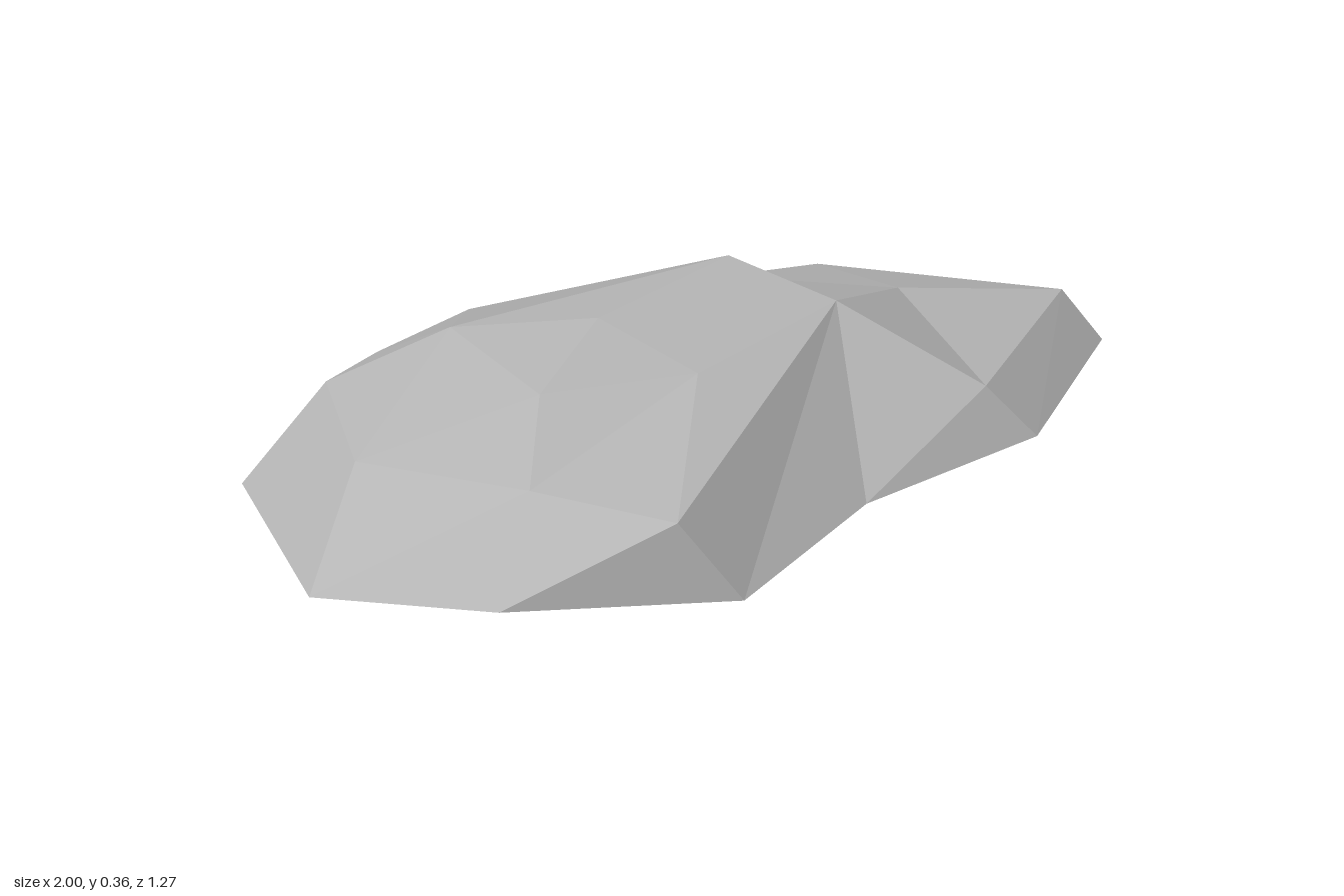
import * as THREE from 'three';

export function createModel() {
  const stone = new THREE.MeshStandardMaterial({ color: 0xb4b4b4, flatShading: true, side: THREE.DoubleSide });
  stone.name = 'stone grey';

  // Open lower edge, clockwise from the front left corner
  const rim = [
    [1, 0.03, 0.46], [0.49, 0.03, 0.63], [0, 0.035, 0.55], [-0.47, 0.03, 0.61],
    [-0.83, 0.05, 0.31], [-1, 0.04, -0.02], [-0.74, 0.04, -0.47], [-0.26, 0.035, -0.54],
    [0.04, 0.02, -0.64], [0.41, 0.01, -0.5], [0.77, 0, -0.22], [0.89, 0.03, 0.06],
  ];

  // Shoulder and crown corners
  const p = {
    A: [0.95, 0.145, 0.38], B: [0.41, 0.15, 0.55], C: [-0.56, 0.2, 0.52], D: [0.255, 0.318, 0.275],
    E: [0.23, 0.357, 0.01], F: [0.52, 0.175, -0.12], G: [0.77, 0.12, -0.16], H: [0.04, 0.14, -0.56],
    I: [0.33, 0.125, -0.42], J: [0.6, 0.21, 0.185], K: [-0.35, 0.2, -0.46], L: [-0.755, 0.2, -0.13],
    M: [-0.65, 0.21, 0.23], N: [-0.455, 0.3, 0.085], O: [-0.18, 0.3, 0.26], P: [-0.18, 0.348, 0],
    Q: [-0.57, 0.23, -0.39], R: [-0.35, 0.315, -0.25],
  };

  const positions = [];
  const tri = (a, b, c) => positions.push(...a, ...b, ...c);

  // Sloping sides: a band from the rim to the shoulder
  const shoulder = [...'ABDCMLQKHIGA'].map((k) => p[k]);
  rim.forEach((r, i) => {
    const j = (i + 1) % rim.length;
    tri(rim[j], r, shoulder[i]);
    if (shoulder[i] !== shoulder[j]) tri(rim[j], shoulder[i], shoulder[j]);
  });

  // Crown: fans of facets around each hub
  const fans = { J: 'BAGFDB', F: 'GIED', E: 'IHRPD', R: 'HKQLNP', N: 'LM', O: 'PNMCDP' };
  for (const [hub, ring] of Object.entries(fans)) {
    for (let i = 0; i < ring.length - 1; i++) tri(p[hub], p[ring[i]], p[ring[i + 1]]);
  }

  const geometry = new THREE.BufferGeometry();
  geometry.setAttribute('position', new THREE.Float32BufferAttribute(positions, 3));
  geometry.computeVertexNormals();

  const rock = new THREE.Mesh(geometry, stone);
  rock.name = 'rockShell';
  const group = new THREE.Group();
  group.name = 'flatRock';
  group.add(rock);
  return group;
}
